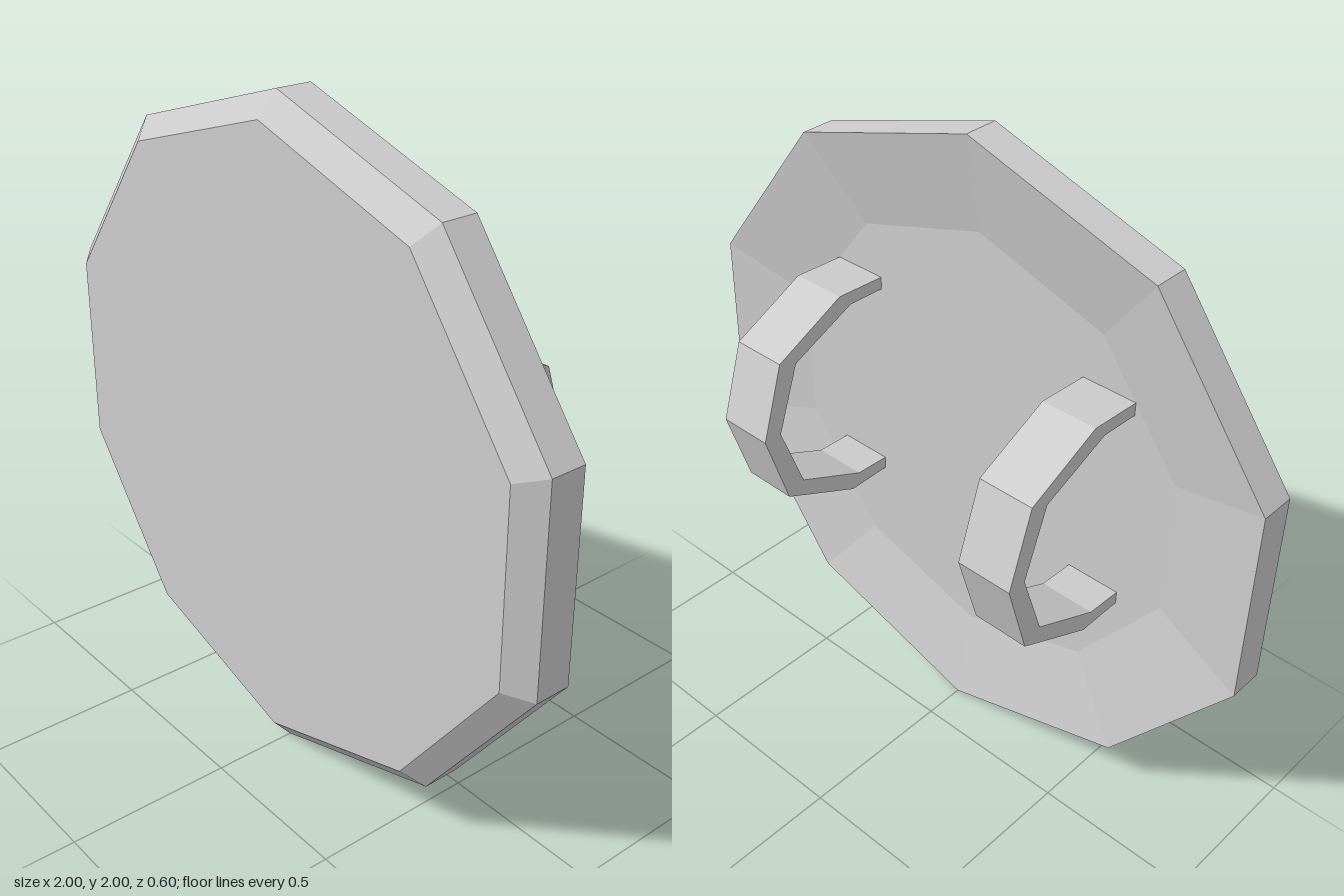
import * as THREE from 'three';

const material = new THREE.MeshStandardMaterial({ color: 0xcccccc, flatShading: true });

// Ten-sided plate: dished back, straight rim, bevelled flat front
function makePlate() {
  const profile = [
    [0, 0.187], [0.7, 0.187], [1, 0.13], [1, 0.24], [0.93, 0.3], [0, 0.3],
  ].map(([r, z]) => new THREE.Vector2(r, z));
  const geometry = new THREE.LatheGeometry(profile, 10);
  geometry.rotateX(Math.PI / 2);
  geometry.scale(1 / Math.cos(Math.PI / 10), 1, 1); // widen to the full 2 units
  geometry.translate(0, 1, 0);
  const plate = new THREE.Mesh(geometry, material);
  plate.name = 'shieldPlate';
  return plate;
}

// Faceted strap: side outline in (z, y), extruded across x
function makeStrap(name, x) {
  const width = 0.175;
  const outer = [[0.19, 1.41], [0.02, 1.417], [-0.22, 1.3], [-0.295, 1.065], [-0.22, 0.825], [0.04, 0.705], [0.19, 0.71]];
  const inner = [[0.19, 0.75], [0.07, 0.753], [-0.16, 0.855], [-0.235, 1.065], [-0.16, 1.275], [0.06, 1.373], [0.19, 1.37]];
  const shape = new THREE.Shape([...outer, ...inner].map(([z, y]) => new THREE.Vector2(-z, y)));
  const geometry = new THREE.ExtrudeGeometry(shape, { depth: width, bevelEnabled: false });
  geometry.translate(0, 0, -width / 2);
  geometry.rotateY(Math.PI / 2); // outline now lies in the z-y plane
  const strap = new THREE.Mesh(geometry, material);
  strap.name = name;
  strap.position.x = x;
  return strap;
}

export function createModel() {
  const model = new THREE.Group();
  model.name = 'shield';
  model.add(makePlate(), makeStrap('leftStrap', 0.465), makeStrap('rightStrap', -0.465));
  return model;
}
